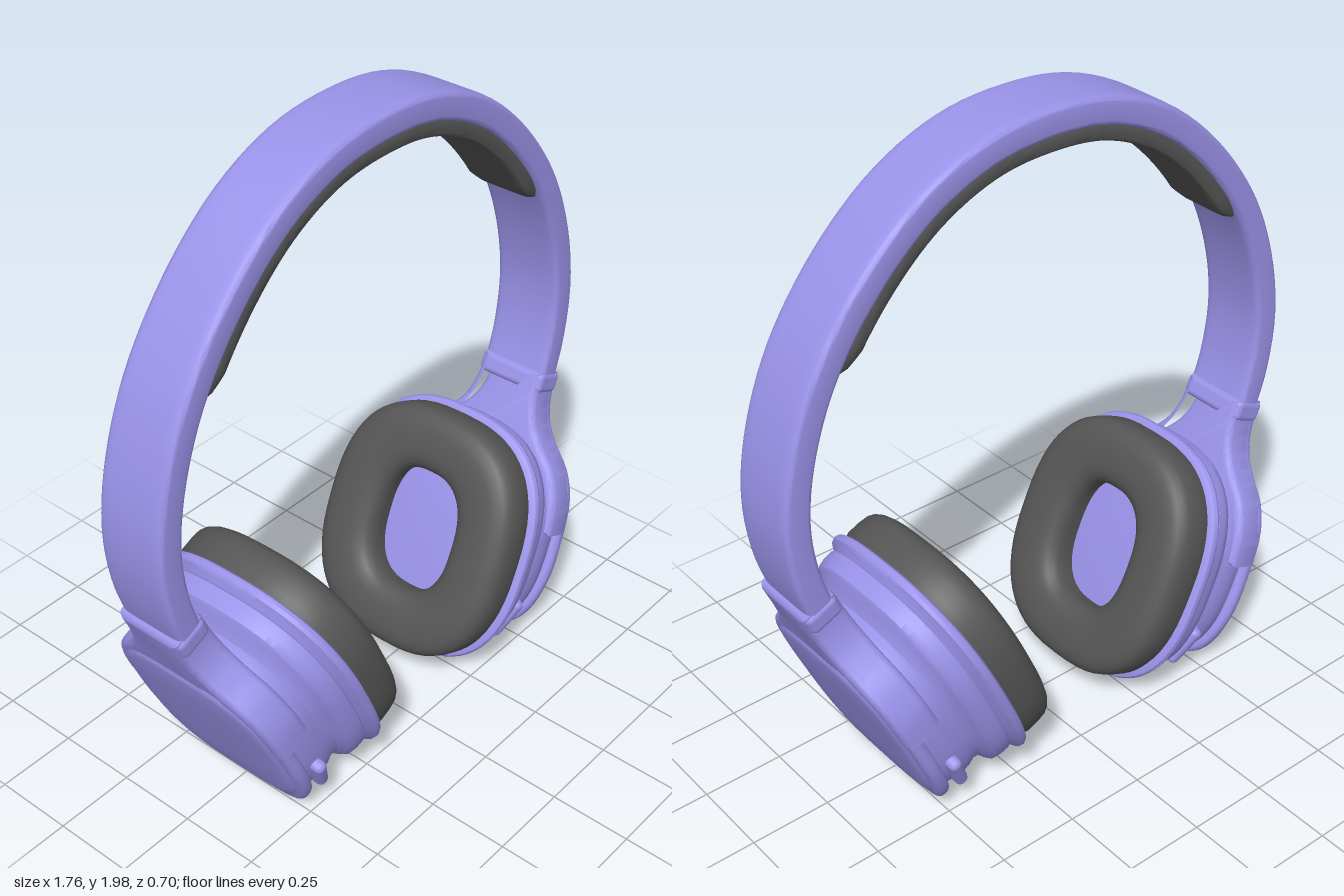
import * as THREE from 'three';
import { toCreasedNormals } from 'three/addons/utils/BufferGeometryUtils.js';
import { RoundedBoxGeometry } from 'three/addons/geometries/RoundedBoxGeometry.js';

const shellMat = new THREE.MeshStandardMaterial({ color: 0x9a92e8 });
const padMat = new THREE.MeshStandardMaterial({ color: 0x555555 });
const V = (x, y, z = 0) => new THREE.Vector3(x, y, z);

function mesh(name, geo, mat) {
  const m = new THREE.Mesh(geo, mat);
  m.name = name;
  return m;
}

// Superellipse ring around centre c, spanned by axes e1 and e2
function ring(c, e1, e2, r1, r2, exp, seg) {
  const pow = (v) => Math.sign(v) * Math.pow(Math.abs(v), 2 / exp);
  return Array.from({ length: seg }, (_, i) => {
    const t = (i / seg) * Math.PI * 2;
    return c.clone().addScaledVector(e1, r1 * pow(Math.cos(t))).addScaledVector(e2, r2 * pow(Math.sin(t)));
  });
}

// Skin a row of closed rings
function skin(rings, crease = 0.7) {
  const n = rings[0].length, index = [];
  for (let i = 0; i < rings.length - 1; i++) {
    for (let j = 0; j < n; j++) {
      const a = i * n + j, b = i * n + (j + 1) % n;
      index.push(a, b, a + n, b, b + n, a + n);
    }
  }
  const geo = new THREE.BufferGeometry().setFromPoints(rings.flat());
  geo.setIndex(index);
  return toCreasedNormals(geo, crease);
}

// Oval body along x; rows are [x, half depth, half height, centre height]
function oval(rows, exp = 2.6, crease = 0.7) {
  return skin(rows.map(([x, hz, hy, cy = 0.53]) =>
    ring(V(x, cy), V(0, 1), V(0, 0, 1), hy, hz, exp, 64)), crease);
}

// Flat strip swept along part of a curve in the xy plane; size(s) gives [thickness, half width]
function strip(curve, t0, t1, offset, size, exp, steps) {
  const rings = [];
  for (let i = 0; i <= steps; i++) {
    const s = i / steps, t = t0 + (t1 - t0) * s;
    const p = curve.getPointAt(t), d = curve.getTangentAt(t);
    const out = V(-d.y, d.x);
    const [th, hw] = size(s);
    p.addScaledVector(out, offset - (offset ? th / 2 : 0));
    const add = (k) => rings.push(ring(p, out, V(0, 0, 1), k * th / 2, k * hw, exp, 40));
    if (i === 0) add(0);
    add(1);
    if (i === steps) add(0);
  }
  return skin(rings);
}

// Plate mirrored across z, extruded along x between x0 and x1; half outline is [z, y]
function plate(half, x0, x1, bevel, flatEnds) {
  const pts = half.map(([z, y]) => new THREE.Vector2(z, y));
  const side = new THREE.SplineCurve(pts).getPoints(36);
  const shape = new THREE.Shape([...side, ...side.map((p) => new THREE.Vector2(-p.x, p.y)).reverse()
    .slice(flatEnds ? 0 : 1)]);
  const geo = new THREE.ExtrudeGeometry(shape, {
    depth: x1 - x0 - 2 * bevel, bevelThickness: bevel, bevelSize: bevel, bevelOffset: -bevel, bevelSegments: 4,
  });
  geo.translate(0, 0, x0 + bevel).rotateY(Math.PI / 2);
  return toCreasedNormals(geo, 0.6);
}

// One ear cup, built upright with x pointing outward, then tilted
function earCup() {
  const cup = new THREE.Group();

  // Ring cushion with an oval opening
  const cushion = [[0.15, 0.15, 0.2]];
  for (let i = 0; i <= 12; i++) {
    const a = (i / 12) * Math.PI;
    const k = Math.sign(Math.cos(a)) * Math.pow(Math.abs(Math.cos(a)), 0.75);
    cushion.push([0.088 - 0.07 * Math.pow(Math.sin(a), 0.75), 0.238 - 0.097 * k, 0.285 - 0.097 * k]);
  }
  cushion.push([0.13, 0.335, 0.382], [0.16, 0.325, 0.372]);
  cup.add(mesh('earCushion', oval(cushion, 2.6, 1.2), padMat));

  // Flange, groove, housing and outer shell in one profile
  cup.add(mesh('cupHousing', oval([
    [0.13, 0, 0], [0.13, 0.2, 0.25], [0.15, 0.335, 0.38], [0.157, 0.348, 0.393], [0.168, 0.352, 0.397],
    [0.18, 0.348, 0.393], [0.188, 0.335, 0.38], [0.198, 0.322, 0.367], [0.206, 0.328, 0.376],
    [0.235, 0.325, 0.377], [0.258, 0.318, 0.373], [0.267, 0.307, 0.362], [0.28, 0.287, 0.335],
    [0.3, 0.28, 0.32, 0.52], [0.32, 0.286, 0.325, 0.52], [0.36, 0.288, 0.328, 0.52],
    [0.4, 0.282, 0.315, 0.525], [0.42, 0.27, 0.3, 0.53], [0.425, 0, 0],
  ]), shellMat));

  // Yoke: thick flared arm above, thin rim around the face
  const flare = [[0.108, 1.07], [0.112, 0.99], [0.135, 0.915], [0.18, 0.855], [0.245, 0.79], [0.287, 0.7]];
  cup.add(mesh('yokeArm', plate([...flare, [0.3, 0.6]], 0.335, 0.452, 0.022, true), shellMat));
  cup.add(mesh('yokeRim', plate([...flare, [0.3, 0.57], [0.3, 0.45], [0.272, 0.335], [0.22, 0.262],
    [0.13, 0.224], [0, 0.215]], 0.405, 0.45, 0.018, false), shellMat));

  // Raised outer panel
  cup.add(mesh('outerPanel', oval([
    [0.43, 0.268, 0.293, 0.545], [0.449, 0.268, 0.293, 0.545], [0.456, 0.26, 0.285, 0.545],
    [0.46, 0.24, 0.265, 0.545], [0.463, 0.15, 0.17, 0.545], [0.464, 0, 0, 0.545],
  ], 3.2), shellMat));

  // Small control tabs on either edge
  for (const [x, y, z, tilt] of [[0.295, 0.32, 0.262, -0.4], [0.37, 0.37, -0.272, 0.3]]) {
    const tab = mesh('controlTab', new RoundedBoxGeometry(0.04, 0.15, 0.05, 4, 0.018), shellMat);
    tab.position.set(x, y, z);
    tab.rotation.x = -tilt;
    cup.add(tab);
  }

  // Collar joining the arm to the band
  const collar = mesh('bandCollar', new RoundedBoxGeometry(0.108, 0.07, 0.232, 4, 0.02), shellMat);
  collar.position.set(0.394, 1.035, 0);
  cup.add(collar);

  cup.rotation.z = -THREE.MathUtils.degToRad(24);
  const side = new THREE.Group();
  side.add(cup);
  return side;
}

export function createModel() {
  const model = new THREE.Group();
  model.name = 'headphones';

  // Headband centre line, mirrored from its right half
  const half = [[0.2, 1.935], [0.395, 1.85], [0.57, 1.702], [0.72, 1.5], [0.805, 1.29],
    [0.837, 1.09], [0.818, 0.91], [0.775, 0.775]];
  const curve = new THREE.CatmullRomCurve3([
    ...half.map(([x, y]) => V(-x, y)).reverse(), V(0, 1.957), ...half.map(([x, y]) => V(x, y)),
  ]);
  model.add(mesh('headband', strip(curve, 0, 1, 0, () => [0.086, 0.111], 7, 80), shellMat));

  // Padding under the crown, tapered at its ends
  const taper = (s) => Math.min(1, Math.pow(Math.min(s, 1 - s) / 0.05, 0.5));
  model.add(mesh('headbandPad', strip(curve, 0.225, 0.775, -0.03,
    (s) => [0.02 + 0.038 * taper(s), 0.085 + 0.017 * taper(s)], 6, 60), padMat));

  // The two cups are half-turn copies of each other
  const left = earCup(), right = earCup();
  left.name = 'leftEarCup';
  right.name = 'rightEarCup';
  right.rotation.y = Math.PI;
  model.add(left, right);
  return model;
}
